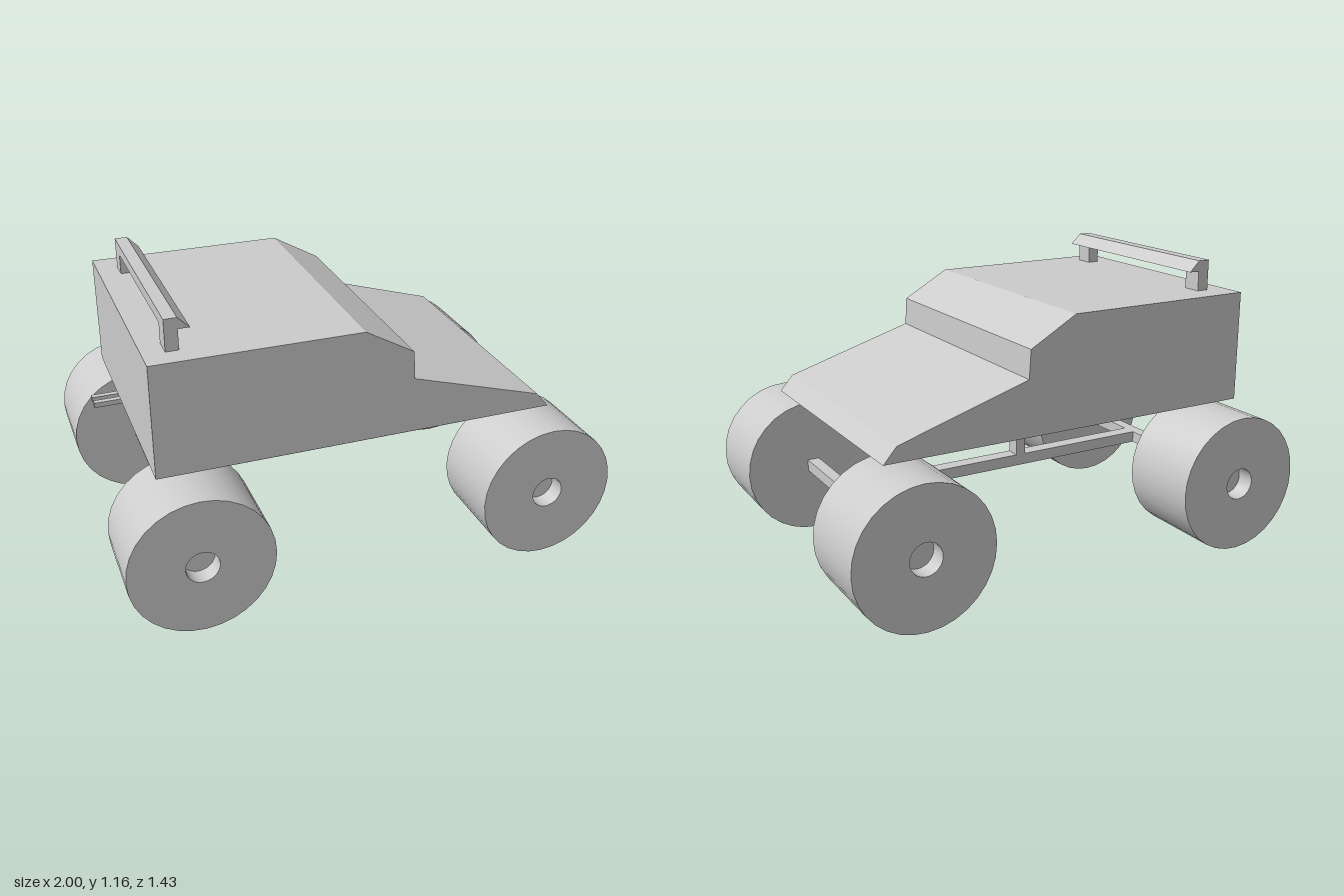
import * as THREE from 'three';
import { toCreasedNormals } from 'three/addons/utils/BufferGeometryUtils.js';

const material = new THREE.MeshStandardMaterial({ color: 0xcccccc });

export function createModel() {
  const model = new THREE.Group();
  model.name = 'buggy';

  const add = (name, geometry, parent = model) => {
    const mesh = new THREE.Mesh(geometry, material);
    mesh.name = name;
    parent.add(mesh);
    return mesh;
  };

  // Box given by its limits on each axis
  const box = (name, [x0, x1], [y0, y1], [z0, z1], parent) =>
    add(name, new THREE.BoxGeometry(x1 - x0, y1 - y0, z1 - z0), parent)
      .position.set((x0 + x1) / 2, (y0 + y1) / 2, (z0 + z1) / 2);

  // Side profile in x, y extruded from z0 to z1
  const slab = (name, profile, z0, z1, parent) => {
    const shape = new THREE.Shape(profile.map(([x, y]) => new THREE.Vector2(x, y)));
    const geometry = new THREE.ExtrudeGeometry(shape, { depth: z1 - z0, bevelEnabled: false });
    add(name, geometry.translate(0, 0, z0), parent);
  };

  // Body shell with cab, windscreen and sloping bonnet
  slab('body', [
    [-0.83, 0.587], [0.785, 0.587], [0.73, 0.65], [0.185, 0.815],
    [0.178, 0.93], [-0.02, 1.042], [-0.83, 1.042],
  ], -0.525, 0.545);

  // Rear spoiler: wedge-nosed bar on two posts
  const spoiler = new THREE.Group();
  spoiler.name = 'spoiler';
  model.add(spoiler);
  slab('spoilerBar', [
    [-0.745, 1.123], [-0.65, 1.123], [-0.695, 1.167], [-0.745, 1.167],
  ], -0.415, 0.455, spoiler);
  for (const z of [[-0.415, -0.335], [0.375, 0.455]]) {
    box('spoilerPost', [-0.745, -0.695], [1.04, 1.123], z, spoiler);
  }

  // Chassis: central spine and the post carrying the body
  box('spine', [-0.69, 0.69], [0.267, 0.315], [-0.02, 0.043]);
  box('bodyPost', [-0.108, -0.065], [0.31, 0.59], [-0.02, 0.043]);

  // Wheel profile with a recessed hub, revolved and turned onto z
  const R = 0.283, width = 0.34, hub = 0.065, recess = 0.07;
  const wheelProfile = [
    [0, 0], [R, 0], [R, width], [hub, width], [hub, width - recess], [0, width - recess],
  ].map(([r, h]) => new THREE.Vector2(r, h));
  const wheelGeometry = toCreasedNormals(new THREE.LatheGeometry(wheelProfile, 32), 0.6);

  for (const x of [-0.715, 0.715]) {
    box('axle', [x - 0.025, x + 0.025], [0.267, 0.315], [-0.38, 0.39]);
    for (const side of [1, -1]) {
      const wheel = add('wheel', wheelGeometry);
      wheel.rotation.x = side * Math.PI / 2;
      wheel.position.set(x, 0.287, side > 0 ? 0.375 : -0.36);
      wheel.scale.y = side > 0 ? 1 : 1.04;
    }
  }

  // Twin exhausts, each an elbow dropping from the floor and running back
  for (const z of [-0.285, -0.232]) {
    slab('exhaust', [
      [-0.925, 0.513], [-0.72, 0.513], [-0.72, 0.59], [-0.775, 0.59],
      [-0.775, 0.535], [-0.925, 0.535],
    ], z, z + 0.025);
  }

  return model;
}
